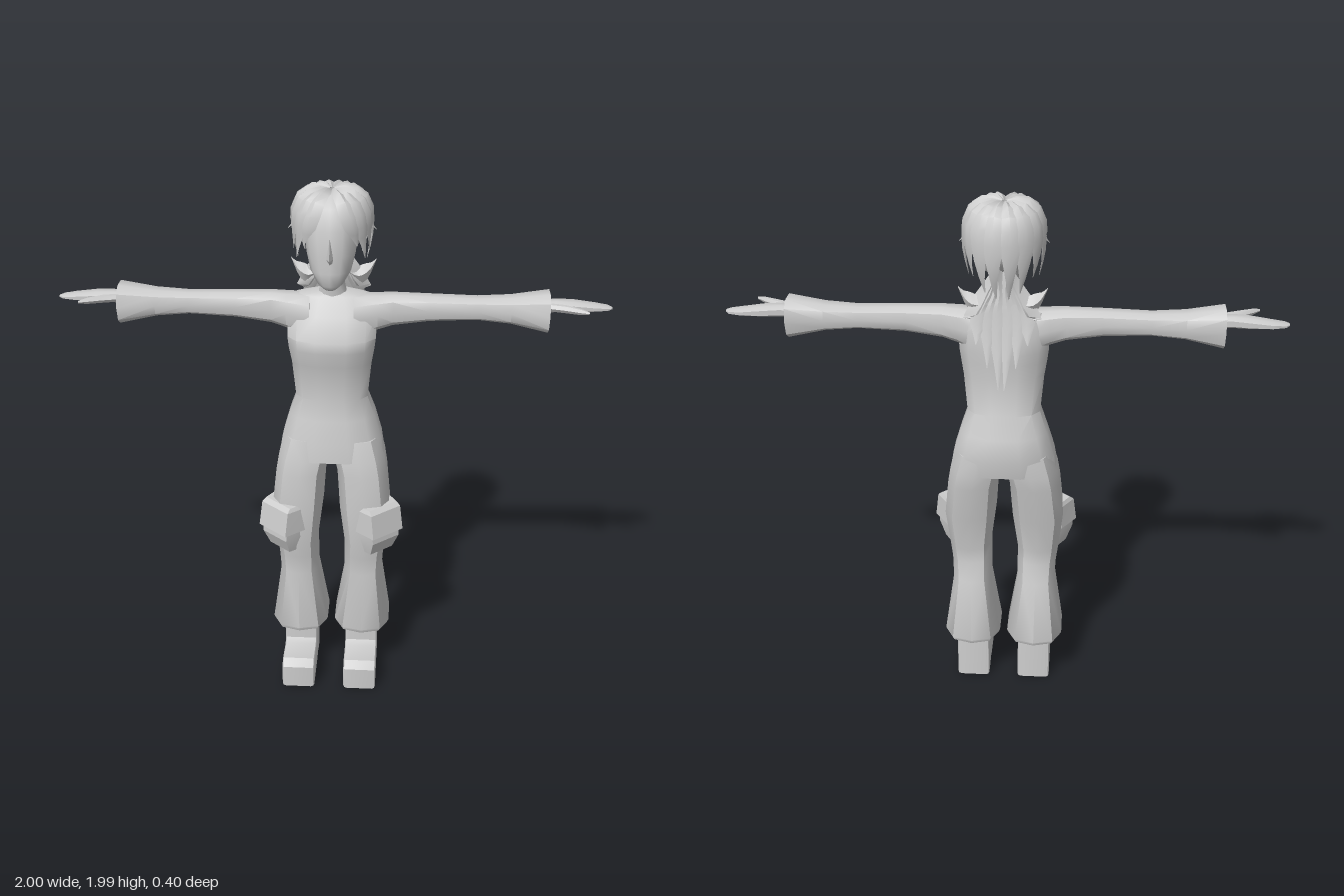
import * as THREE from 'three';
import { toCreasedNormals } from 'three/addons/utils/BufferGeometryUtils.js';

const V = (x, y, z) => new THREE.Vector3(x, y, z);
const grey = new THREE.MeshStandardMaterial({ color: 0xcccccc });
grey.name = 'light grey';

function part(name, geometry, parent) {
  const mesh = new THREE.Mesh(geometry, grey);
  mesh.name = name;
  parent.add(mesh);
  return mesh;
}

// Closed skin over a row of equal-sized rings, always wound outward
function loft(rings, crease = 0.7) {
  const n = rings[0].length, tris = [];
  rings.slice(1).forEach((b, k) => {
    const a = rings[k];
    for (let i = 0; i < n; i++) {
      const j = (i + 1) % n;
      tris.push([a[i], a[j], b[j]], [a[i], b[j], b[i]]);
    }
  });
  const cap = (ring, flip) => {
    const c = ring.reduce((s, p) => s.add(p), V(0, 0, 0)).divideScalar(n);
    for (let i = 0; i < n; i++) {
      const j = (i + 1) % n;
      tris.push(flip ? [c, ring[j], ring[i]] : [c, ring[i], ring[j]]);
    }
  };
  cap(rings[0], true);
  cap(rings[rings.length - 1], false);
  const o = rings[0][0];
  const volume = tris.reduce((s, [a, b, c]) =>
    s + a.clone().sub(o).dot(b.clone().sub(o).cross(c.clone().sub(o))), 0);
  const points = tris.flatMap(([a, b, c]) => (volume < 0 ? [a, c, b] : [a, b, c]));
  return toCreasedNormals(new THREE.BufferGeometry().setFromPoints(points), crease);
}

// Rounded-square outline as [u, v] between two limits on each axis
function outline(u0, u1, v0, v1, n = 12, e = 2.5) {
  const pow = (t) => Math.sign(t) * Math.abs(t) ** (2 / e);
  return Array.from({ length: n }, (_, i) => {
    const a = ((i + 0.5) / n) * Math.PI * 2;
    return [(u0 + u1) / 2 + ((u1 - u0) / 2) * pow(Math.cos(a)),
      (v0 + v1) / 2 + ((v1 - v0) / 2) * pow(Math.sin(a))];
  });
}
const ringY = (y, x0, x1, zf, zb, n, e) => outline(x0, x1, zb, zf, n, e).map(([x, z]) => V(x, y, z));
const ringX = (x, y0, y1, z0, z1, n, e) => outline(y0, y1, z0, z1, n, e).map(([y, z]) => V(x, y, z));

// Pointed lock of hair: a flattened diamond swept along a path
function lock(path, sideAt, width, thick) {
  const curve = new THREE.CatmullRomCurve3(path), steps = 8, rings = [];
  for (let i = 0; i <= steps; i++) {
    const t = i / steps, p = curve.getPoint(t), side = sideAt(p);
    const normal = curve.getTangent(t).cross(side).normalize();
    const w = Math.max(0.002, width * Math.min(0.3 + 1.6 * t, 1, (1 - t) * 2.4));
    const h = thick * Math.max(0.05, Math.min(1, (1 - t) * 2));
    rings.push([
      p.clone().addScaledVector(side, w), p.clone().addScaledVector(normal, h),
      p.clone().addScaledVector(side, -w), p.clone().addScaledVector(normal, -h),
    ]);
  }
  return loft(rings, 0.9);
}

function buildBody(g) {
  // y, half width, front z, back z
  part('torso', loft([
    [1.598, 0.06, -0.02, -0.1], [1.585, 0.135, -0.005, -0.11], [1.52, 0.165, 0.035, -0.125],
    [1.44, 0.165, 0.083, -0.127], [1.4, 0.16, 0.085, -0.125], [1.34, 0.15, 0.065, -0.122],
    [1.2, 0.137, 0.05, -0.13], [1.12, 0.165, 0.065, -0.17], [1.03, 0.192, 0.083, -0.176],
    [0.96, 0.204, 0.09, -0.165],
  ].map(([y, w, f, b]) => ringY(y, -w, w, f, b))), g);
  part('neck', loft([
    [1.57, 0.058, -0.01, -0.1], [1.63, 0.045, -0.005, -0.09], [1.74, 0.045, 0.02, -0.08],
  ].map(([y, w, f, b]) => ringY(y, -w, w, f, b, 10, 2))), g);
}

function buildHead(g) {
  part('head', loft([
    [1.648, 0.022, 0.1, 0.045], [1.665, 0.045, 0.112, 0.01], [1.71, 0.073, 0.114, -0.05],
    [1.77, 0.088, 0.113, -0.1], [1.86, 0.097, 0.11, -0.13], [1.93, 0.085, 0.08, -0.12],
    [1.965, 0.04, 0.02, -0.08],
  ].map(([y, w, f, b]) => ringY(y, -w, w, f, b, 14, 2.2)), 1), g);
  // Nose: a narrow wedge, deepest near its lower end
  part('nose', loft([[1.835, 0.004, 0.112], [1.765, 0.016, 0.142], [1.745, 0.012, 0.114]]
    .map(([y, w, z]) => [V(-w, y, 0.1), V(0, y, z), V(w, y, 0.1)]), 0.3), g);
}

function buildHair(parent) {
  const hair = new THREE.Group();
  hair.name = 'hair';
  parent.add(hair);
  const cz = -0.035;
  const cap = part('hairCap', new THREE.SphereGeometry(1, 16, 10), hair);
  cap.scale.set(0.12, 0.118, 0.132);
  cap.position.set(0, 1.85, -0.045);

  // Locks from the crown: start angle, end angle (0 = front), tip height, half width, tip flare
  const crown = [
    [14, 42, 1.80, 0.034, 1.0], [32, 58, 1.75, 0.036, 1.02], [62, 74, 1.77, 0.036, 1.0],
    [82, 90, 1.83, 0.034, 1.13], [98, 100, 1.72, 0.038, 0.9], [122, 124, 1.73, 0.04, 0.9],
    [146, 148, 1.68, 0.042, 0.82], [168, 168, 1.66, 0.04, 0.75],
  ];
  for (const s of [-1, 1]) {
    for (const [a0, a1, tip, w, flare] of crown) {
      const at = (t, r, y) => {
        const a = s * THREE.MathUtils.degToRad(a0 + (a1 - a0) * t);
        return V(0.138 * r * Math.sin(a), y, cz + 0.143 * r * Math.cos(a));
      };
      const path = [at(0, 0.08, 1.962), at(0.15, 0.5, 1.972), at(0.4, 0.86, 1.94),
        at(0.65, 0.99, 1.87), at(0.85, 1.0, (1.87 + tip) / 2), at(1, flare, tip)];
      const around = (p) => V(p.z - cz, 0, -p.x).normalize();
      part('hairLock', lock(path, around, w, 0.014), hair);
    }
    // Ponytail strands: spread, tip x, tip y, tip z
    for (const [x, tx, ty, tz] of [[0.02, 0.01, 1.34, -0.2], [0.05, 0.05, 1.42, -0.185],
      [0.08, 0.09, 1.5, -0.17], [0.1, 0.135, 1.59, -0.14]]) {
      part('ponytailStrand', lock([V(s * 0.02, 1.76, -0.12), V(s * x * 0.5, 1.68, -0.115),
        V(s * x, 1.59, -0.135), V(s * tx, ty, tz)], () => V(1, 0, 0), 0.045, 0.022), hair);
    }
    part('neckTuft', lock([V(s * 0.03, 1.67, -0.11), V(s * 0.085, 1.635, -0.12),
      V(s * 0.125, 1.65, -0.12), V(s * 0.155, 1.695, -0.12)],
    () => V(0, 1, 0), 0.035, 0.02), hair);
  }
}

function buildArm(g, s) {
  const arm = new THREE.Group();
  arm.name = s > 0 ? 'leftArm' : 'rightArm';
  g.add(arm);
  // x, bottom, top, back z, front z
  part('sleeve', loft([
    [0.08, 1.42, 1.588, -0.11, 0.03], [0.165, 1.46, 1.592, -0.1, 0.02], [0.22, 1.478, 1.595, -0.093, 0.012],
    [0.35, 1.497, 1.592, -0.09, 0.01], [0.52, 1.505, 1.587, -0.092, 0.008], [0.64, 1.495, 1.594, -0.1, 0.018],
    [0.775, 1.465, 1.615, -0.116, 0.036],
  ].map(([x, ...r]) => ringX(s * x, ...r, 10, 2.5))), arm);
  part('hand', loft([
    [0.74, 1.535, 1.578, -0.07, -0.01], [0.8, 1.54, 1.583, -0.075, -0.008], [0.86, 1.54, 1.58, -0.083, -0.008],
    [0.94, 1.543, 1.569, -0.083, -0.014], [0.985, 1.548, 1.562, -0.073, -0.022], [1, 1.552, 1.558, -0.055, -0.035],
  ].map(([x, ...r]) => ringX(s * x, ...r, 8, 2.5))), arm);
  part('thumb', loft([
    [0.775, 1.55, 1.578, -0.03, 0.005], [0.83, 1.552, 1.58, -0.01, 0.026], [0.88, 1.556, 1.578, 0.024, 0.048],
    [0.907, 1.563, 1.572, 0.046, 0.056],
  ].map(([x, ...r]) => ringX(s * x, ...r, 6, 2))), arm);
}

function buildLeg(g, s) {
  const leg = new THREE.Group();
  leg.name = s > 0 ? 'leftLeg' : 'rightLeg';
  g.add(leg);
  // y, inner x, outer x, front z, back z
  part('trouserLeg', loft([
    [1.04, 0, 0.18, 0.07, -0.16], [0.96, 0.006, 0.204, 0.09, -0.164], [0.9, 0.02, 0.214, 0.096, -0.155],
    [0.75, 0.03, 0.23, 0.104, -0.13], [0.6, 0.05, 0.214, 0.094, -0.1], [0.54, 0.05, 0.206, 0.085, -0.1],
    [0.46, 0.05, 0.202, 0.078, -0.12], [0.22, 0.01, 0.237, 0.11, -0.176], [0.205, 0.016, 0.23, 0.104, -0.17],
  ].map(([y, ...r]) => ringY(y, ...r.slice(0, 2).map((x) => s * x), r[2], r[3], 10, 2.6))), leg);

  // Boot: side profile in (z, y), extruded across the foot
  const profile = [[0.19, 0.005], [0.19, 0.085], [0.165, 0.105], [0.06, 0.1], [0.03, 0.115], [0.025, 0.22],
    [-0.09, 0.22], [-0.1, 0.005], [-0.04, 0.005], [-0.015, 0.018], [0.02, 0.005]];
  const shape = new THREE.Shape(profile.map(([z, y]) => new THREE.Vector2(z, y)));
  const boot = new THREE.ExtrudeGeometry(shape, {
    depth: 0.1, bevelSize: 0.008, bevelThickness: 0.014, bevelSegments: 2,
  }).translate(0, 0, -0.05).rotateY(-Math.PI / 2);
  const shoe = part('boot', toCreasedNormals(boot, 0.7), leg);
  shoe.position.set(s * 0.122, 0.003, 0);

  // Cargo pocket wrapping the outer front corner of the thigh
  const pocket = new THREE.Group();
  pocket.name = 'cargoPocket';
  pocket.position.set(s * 0.178, 0.68, 0.052);
  pocket.rotation.y = s * 0.72;
  leg.add(pocket);
  const slab = (rows) => loft(rows.map(([y, w, f]) =>
    [V(-w, y, -0.03), V(w, y, -0.03), V(w * 0.85, y, f), V(-w * 0.85, y, f)]), 0.3);
  part('pocketBag', slab([[0.03, 0.078, 0.052], [-0.04, 0.076, 0.056], [-0.1, 0.064, 0.03]]), pocket);
  part('pocketFlap', slab([[0.1, 0.078, 0.035], [0.085, 0.084, 0.052], [-0.01, 0.086, 0.068]]), pocket);
}

export function createModel() {
  const g = new THREE.Group();
  g.name = 'figure';
  buildBody(g);
  buildHead(g);
  buildHair(g);
  for (const s of [-1, 1]) {
    buildArm(g, s);
    buildLeg(g, s);
  }
  return g;
}
